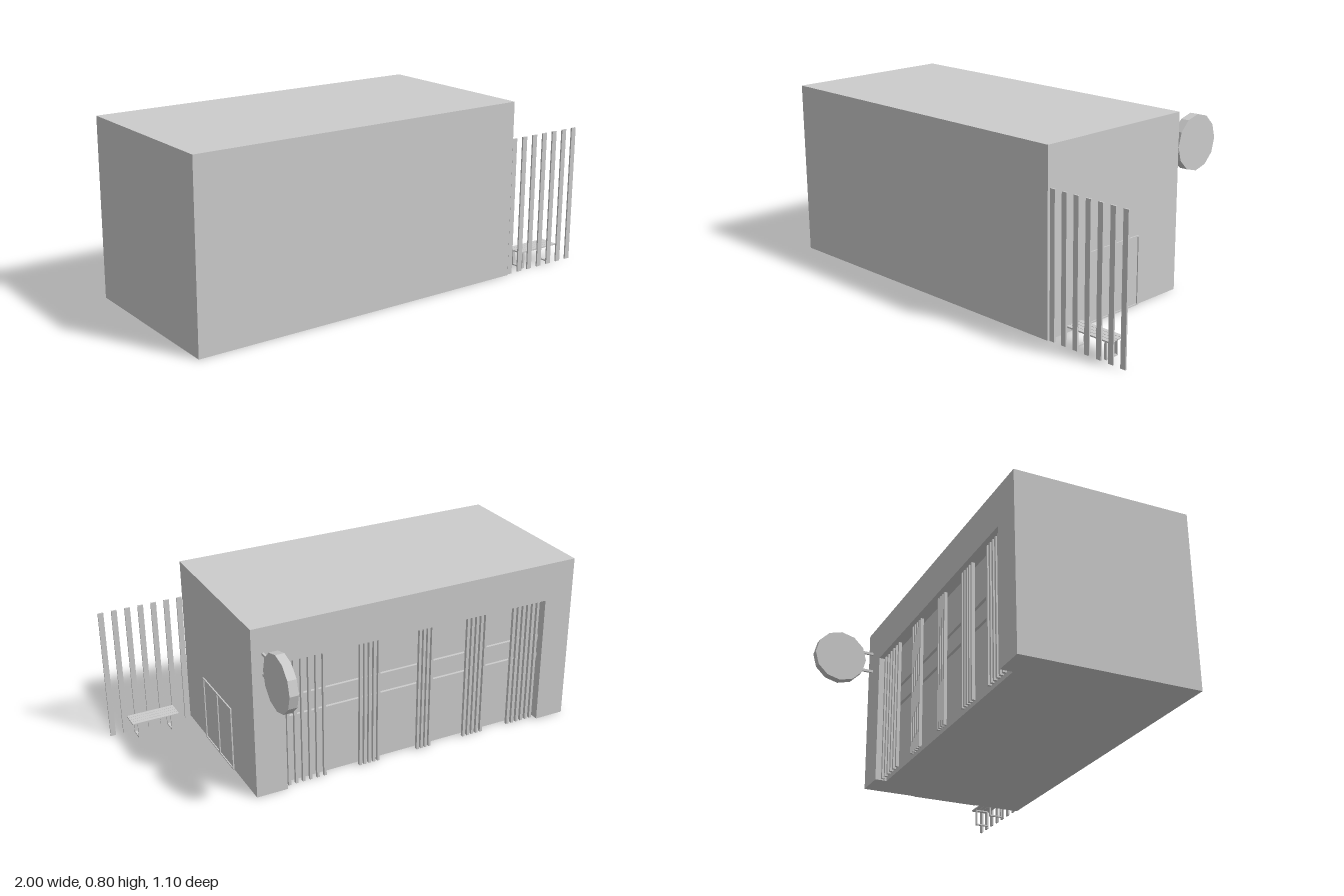
import * as THREE from 'three';

const grey = new THREE.MeshStandardMaterial({ color: 0xcccccc, flatShading: true });

// Box given by its min and max corners
function box(parent, name, [x0, y0, z0], [x1, y1, z1]) {
  const mesh = new THREE.Mesh(new THREE.BoxGeometry(x1 - x0, y1 - y0, z1 - z0), grey);
  mesh.position.set((x0 + x1) / 2, (y0 + y1) / 2, (z0 + z1) / 2);
  mesh.name = name;
  parent.add(mesh);
  return mesh;
}

function group(parent, name) {
  const g = new THREE.Group();
  g.name = name;
  parent.add(g);
  return g;
}

const BACK = -0.25, RECESS = -0.195;          // rear wall and the recessed wall behind it
const OPEN_L = 0.455, OPEN_R = -0.855, OPEN_TOP = 0.62;

function addBuilding(root) {
  const g = group(root, 'building');
  box(g, 'hall', [-1, 0, RECESS], [0.6, 0.8, 0.55]);
  // Rear wall around the opening, open at the floor
  const portal = new THREE.Shape([
    [-1, 0], [OPEN_R, 0], [OPEN_R, OPEN_TOP], [OPEN_L, OPEN_TOP],
    [OPEN_L, 0], [0.6, 0], [0.6, 0.8], [-1, 0.8],
  ].map(([x, y]) => new THREE.Vector2(x, y)));
  const wall = new THREE.Mesh(
    new THREE.ExtrudeGeometry(portal, { depth: RECESS - BACK, bevelEnabled: false }), grey);
  wall.position.z = BACK;
  wall.name = 'rearWall';
  g.add(wall);
}

function addScreen(root) {
  const g = group(root, 'rearScreen');
  // Clusters of upright slats: [left edge, right edge, count]
  const clusters = [
    [0.44, 0.255, 6], [0.09, -0.012, 5], [-0.205, -0.28, 4],
    [-0.453, -0.56, 5], [-0.698, -0.84, 6],
  ];
  const w = 0.012;
  for (const [a, b, n] of clusters) {
    for (let i = 0; i < n; i++) {
      const x = a - w / 2 + (b - a + w) * i / (n - 1);
      box(g, 'slat', [x - w / 2, 0, -0.228], [x + w / 2, OPEN_TOP, -0.213]);
    }
  }
  // Two long rails across the opening
  for (const y of [0.325, 0.42]) {
    box(g, 'rail', [OPEN_R, y - 0.012, -0.213], [OPEN_L, y + 0.012, -0.2]);
  }
}

function addDoor(root) {
  const g = group(root, 'doubleDoor');
  const x0 = 0.598, x1 = 0.606, t = 0.006, top = 0.312;
  // Two framed leaves: stiles, top and bottom rails, pane
  for (const [z0, z1] of [[0.002, 0.164], [0.164, 0.326]]) {
    box(g, 'stile', [x0, 0, z0], [x1, top, z0 + t]);
    box(g, 'stile', [x0, 0, z1 - t], [x1, top, z1]);
    box(g, 'topRail', [x0, top - t, z0 + t], [x1, top, z1 - t]);
    box(g, 'bottomRail', [x0, 0, z0 + t], [x1, t, z1 - t]);
    box(g, 'pane', [x0, t, z0 + t], [0.601, top - t, z1 - t]);
  }
}

function addSign(root) {
  const g = group(root, 'roundSign');
  const disc = new THREE.Mesh(new THREE.CylinderGeometry(0.127, 0.127, 0.04, 12), grey);
  disc.rotation.z = Math.PI / 2;
  disc.position.set(0.548, 0.63, -0.42);
  disc.name = 'signDisc';
  g.add(disc);
  // Brackets to the wall
  for (const y of [0.586, 0.68]) {
    box(g, 'bracket', [0.543, y - 0.006, -0.32], [0.553, y + 0.006, BACK]);
  }
}

function addFence(root) {
  const g = group(root, 'fence');
  for (let i = 0; i < 7; i++) {
    const x = 0.619 + i * 0.0614;
    box(g, 'post', [x - 0.0125, 0, 0.537], [x + 0.0125, 0.63, 0.544]);
  }
}

function addBench(root) {
  const g = group(root, 'bench');
  // Seat boards
  for (let i = 0; i < 4; i++) {
    const z = 0.45 + i * 0.0222;
    box(g, 'seatBoard', [0.69, 0.08, z], [0.915, 0.086, z + 0.0205]);
  }
  // Square leg frames
  const t = 0.006, z0 = 0.458, z1 = 0.525;
  for (const x of [0.722, 0.883]) {
    const a = x - 0.006, b = x + 0.006;
    box(g, 'leg', [a, 0, z0], [b, 0.08, z0 + t]);
    box(g, 'leg', [a, 0, z1 - t], [b, 0.08, z1]);
    box(g, 'foot', [a, 0, z0 + t], [b, t, z1 - t]);
    box(g, 'seatSupport', [a, 0.08 - t, z0 + t], [b, 0.08, z1 - t]);
  }
}

export function createModel() {
  const root = new THREE.Group();
  root.name = 'shopBuilding';
  addBuilding(root);
  addScreen(root);
  addDoor(root);
  addSign(root);
  addFence(root);
  addBench(root);
  return root;
}
